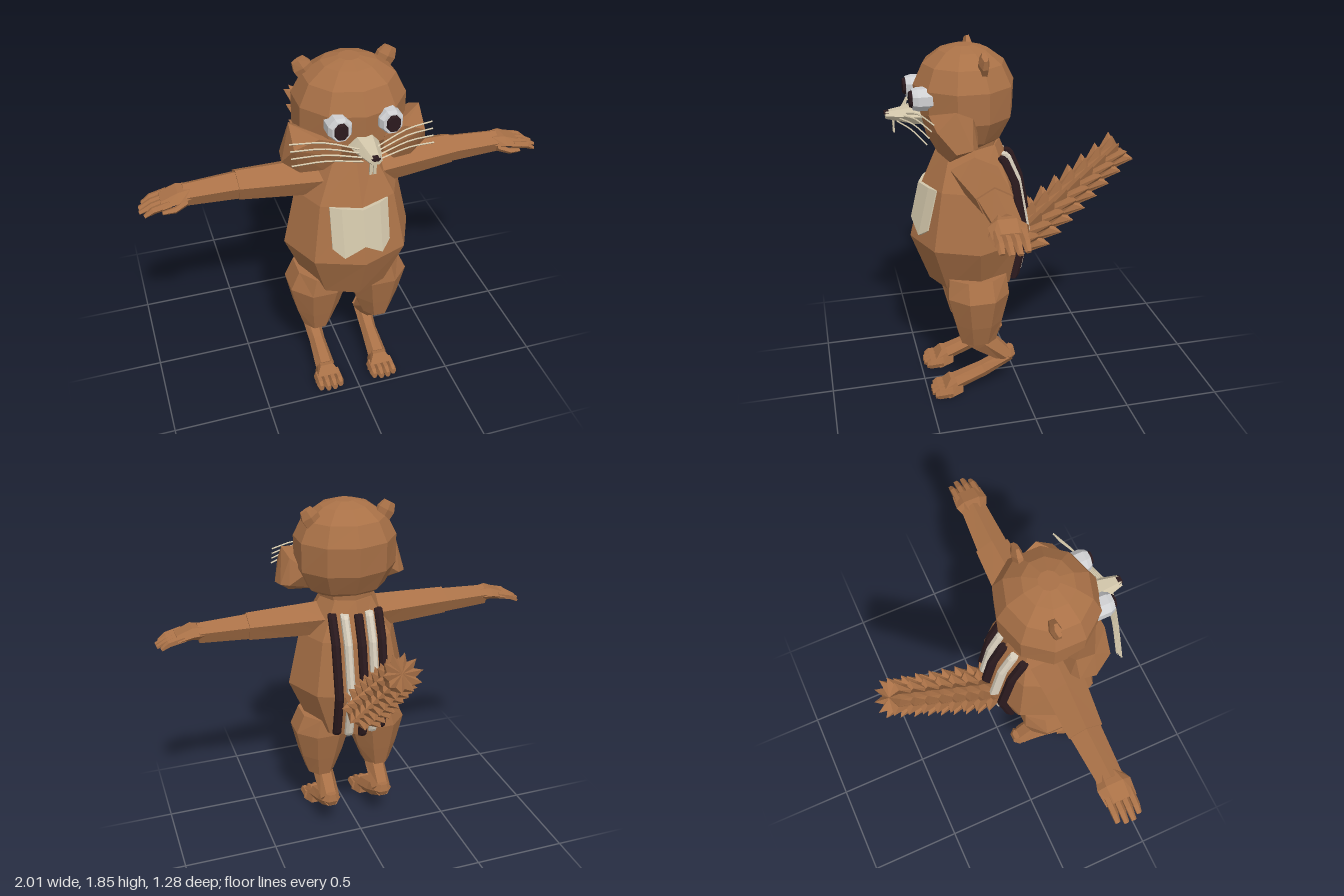
import * as THREE from 'three';
import { ConvexGeometry } from 'three/addons/geometries/ConvexGeometry.js';

const V = (x, y, z) => new THREE.Vector3(x, y, z);
const X = V(1, 0, 0), Y = V(0, 1, 0), Z = V(0, 0, 1), DOWN = V(0, -1, 0);

const mat = (name, color) => Object.assign(new THREE.MeshStandardMaterial({ color }), { name });

// Skin between cross-sections, capped at both ends, with hard facets
function loft(sections) {
  const pos = [];
  const tri = (...p) => p.forEach(q => pos.push(q.x, q.y, q.z));
  const n = sections[0].length;
  const mid = s => s.reduce((a, p) => a.add(p), V(0, 0, 0)).divideScalar(n);
  const first = sections[0], last = sections[sections.length - 1];
  const c0 = mid(first), c1 = mid(last);
  for (let j = 0; j < n; j++) {
    const k = (j + 1) % n;
    for (let i = 0; i + 1 < sections.length; i++) {
      const a = sections[i], b = sections[i + 1];
      tri(a[j], a[k], b[k]);
      tri(a[j], b[k], b[j]);
    }
    tri(c0, first[k], first[j]);
    tri(c1, last[j], last[k]);
  }
  const g = new THREE.BufferGeometry();
  g.setAttribute('position', new THREE.Float32BufferAttribute(pos, 3));
  g.computeVertexNormals();
  return g;
}

// Ring of n points around c, facing d; u is the first radius axis
function ring(c, d, u, ru, rv, n, phase = 0) {
  const v = d.clone().cross(u).normalize();
  return Array.from({ length: n }, (_, i) => {
    const a = phase + i / n * Math.PI * 2;
    return c.clone().addScaledVector(u, Math.cos(a) * ru).addScaledVector(v, Math.sin(a) * rv);
  });
}

// Tapered limb through rows [x, y, z, ru, rv]; dir fixes the facing of all rings
function limb(rows, u, n, phase = 0, dir = null) {
  const p = rows.map(r => V(r[0], r[1], r[2]));
  return loft(rows.map((r, i) => {
    const d = dir || p[Math.min(i + 1, p.length - 1)].clone().sub(p[Math.max(i - 1, 0)]).normalize();
    return ring(p[i], d, u, r[3], r[4], n, phase);
  }));
}

const hull = pts => new ConvexGeometry(pts.map(p => V(...p)));

// Mirror across x = 0 and restore the winding
function mirrored(geo) {
  const g = geo.clone(), p = g.attributes.position;
  for (let i = 0; i < p.count; i += 3) {
    const q = [0, 2, 1].map(k => V(-p.getX(i + k), p.getY(i + k), p.getZ(i + k)));
    q.forEach((w, k) => p.setXYZ(i + k, w.x, w.y, w.z));
  }
  g.computeVertexNormals();
  return g;
}

// Torso rows: height, half width, centre z, half depth
const TORSO = [[0.57, 0.08, 0.22, 0.1], [0.63, 0.22, 0.22, 0.23], [0.88, 0.325, 0.24, 0.3],
  [1.17, 0.262, 0.23, 0.24], [1.37, 0.14, 0.225, 0.155]];

// Torso surface z at (x, y); side is 1 for the front, -1 for the back
function torsoZ(x, y, side) {
  let i = 0;
  while (i < TORSO.length - 2 && y > TORSO[i + 1][0]) i++;
  const a = TORSO[i], b = TORSO[i + 1], t = (y - a[0]) / (b[0] - a[0]);
  const [, hx, zc, hz] = a.map((v, k) => v + (b[k] - v) * t);
  return zc + side * hz * (1 - 0.293 * Math.abs(x) / (0.707 * hx));
}

export function createModel() {
  const root = new THREE.Group();
  root.name = 'rodent';
  const fur = mat('brownFur', 0xa97147), cream = mat('creamFur', 0xd2c6aa),
    dark = mat('darkBrown', 0x2b1a1e), white = mat('eyeWhite', 0xcfd0d2),
    pale = mat('paleStripe', 0xd9cfbd);

  const add = (name, geo, m) => {
    const mesh = new THREE.Mesh(geo, m);
    mesh.name = name;
    root.add(mesh);
  };
  const pair = (name, geo, m) => {
    add('left' + name, geo, m);
    add('right' + name, mirrored(geo), m);
  };

  // Torso, neck and head
  add('torso', limb(TORSO.map(([y, hx, zc, hz]) => [0, y, zc, hx, hz]), X, 8, 0, Y), fur);
  add('neck', limb([[0, 1.34, 0.22, 0.14, 0.14], [0, 1.44, 0.23, 0.16, 0.15]], X, 8, 0, Y), fur);
  const head = [[1.37, 0.14, 0.13], [1.41, 0.21, 0.18], [1.52, 0.265, 0.24], [1.67, 0.265, 0.248],
    [1.77, 0.215, 0.2], [1.83, 0.13, 0.12], [1.852, 0.05, 0.05]];
  add('head', limb(head.map(([y, rx, rz]) => [0, y, 0.245, rx, rz]), X, 10, Math.PI / 2, Y), fur);

  // Face
  pair('Cheek', hull([[0.31, 1.61, 0.34], [0.34, 1.43, 0.27], [0.35, 1.42, 0.35], [0.27, 1.36, 0.37],
    [0.17, 1.38, 0.41], [0.1, 1.46, 0.455], [0.1, 1.54, 0.46], [0.2, 1.57, 0.45], [0.31, 1.52, 0.43],
    [0.2, 1.5, 0.22], [0.29, 1.57, 0.26], [0.3, 1.43, 0.24], [0.15, 1.38, 0.3]]), fur);
  pair('Ear', limb([[0.16, 1.73, 0.185, 0.02, 0.045], [0.2, 1.8, 0.185, 0.027, 0.052],
    [0.22, 1.835, 0.185, 0.015, 0.035]], Z, 6), fur);
  pair('Eye', limb([[0.118, 1.63, 0.4, 0.059, 0.057], [0.118, 1.63, 0.49, 0.059, 0.057],
    [0.118, 1.63, 0.515, 0.046, 0.05]], X, 8, Math.PI / 8, Z), white);
  pair('Pupil', limb([[0.12, 1.632, 0.511, 0.036, 0.045], [0.12, 1.632, 0.529, 0.03, 0.037]],
    X, 8, Math.PI / 8, Z), dark);
  add('snout', limb([[0, 1.525, 0.43, 0.078, 0.057], [0, 1.525, 0.5, 0.066, 0.048],
    [0, 1.53, 0.632, 0.03, 0.02]], X, 6, 0, Z), cream);
  add('nose', limb([[0, 1.542, 0.615, 0.024, 0.011], [0, 1.541, 0.638, 0.02, 0.009]], X, 6, 0, Z), dark);
  for (const s of [-1, 1]) {
    const g = new THREE.BoxGeometry(0.014, 0.065, 0.008).toNonIndexed();
    add('tooth', g.translate(s * 0.009, 1.475, 0.595), cream);
  }
  for (let i = 0; i < 4; i++) {
    const y = 1.505 + i * 0.012;
    const c = new THREE.CatmullRomCurve3([V(0.04, y, 0.58 - i * 0.015),
      V(0.19, y + 0.012 * i, 0.53 - i * 0.012), V(0.335, y - 0.03 + 0.018 * i, 0.48 - i * 0.012)]);
    const g = new THREE.TubeGeometry(c, 6, 0.0045, 4).toNonIndexed();
    g.computeVertexNormals();
    pair('Whisker', g, cream);
  }

  // Arms, hands and fingers
  pair('Arm', limb([[0.14, 1.245, 0.23, 0.125, 0.088], [0.3, 1.248, 0.225, 0.11, 0.082],
    [0.54, 1.255, 0.215, 0.092, 0.071]], Z, 5, -Math.PI / 2, X), fur);
  pair('Forearm', limb([[0.52, 1.253, 0.215, 0.085, 0.066], [0.79, 1.252, 0.22, 0.068, 0.052]],
    Z, 5, -Math.PI / 2, X), fur);
  pair('Palm', limb([[0.76, 1.255, 0.22, 0.06, 0.04], [0.82, 1.262, 0.225, 0.085, 0.035],
    [0.9, 1.24, 0.228, 0.078, 0.024]], Z, 6, 0, X), fur);
  for (let i = 0; i < 4; i++) {
    const z = 0.172 + i * 0.037, tip = [0.98, 0.998, 1, 0.98][i];
    pair('Finger', limb([[0.86, 1.25, z, 0.02, 0.02], [0.94, 1.232, z, 0.019, 0.018],
      [tip, 1.207, z, 0.014, 0.009]], Z, 5), fur);
  }
  pair('Thumb', limb([[0.78, 1.24, 0.27, 0.02, 0.02], [0.84, 1.222, 0.295, 0.018, 0.016],
    [0.9, 1.212, 0.29, 0.01, 0.009]], Z, 5, 0, X), fur);

  // Legs, feet and toes
  pair('Thigh', limb([[0.15, 0.7, 0.23, 0.125, 0.16], [0.157, 0.6, 0.23, 0.166, 0.17],
    [0.163, 0.44, 0.23, 0.122, 0.13], [0.167, 0.322, 0.23, 0.079, 0.098]], X, 8, Math.PI / 8, DOWN), fur);
  pair('Shin', limb([[0.16, 0.36, 0.25, 0.058, 0.085], [0.155, 0.3, 0.2, 0.057, 0.07],
    [0.153, 0.2, 0.085, 0.055, 0.045]], X, 6), fur);
  pair('Hock', limb([[0.153, 0.24, 0.055, 0.03, 0.02], [0.153, 0.2, 0.062, 0.054, 0.036],
    [0.153, 0.165, 0.07, 0.03, 0.025]], X, 6, 0, DOWN), fur);
  pair('Ankle', limb([[0.153, 0.195, 0.06, 0.048, 0.035], [0.15, 0.12, 0.2, 0.043, 0.043],
    [0.15, 0.065, 0.35, 0.052, 0.045]], X, 6), fur);
  pair('Foot', hull([-1, 1].flatMap(s => [[0.15 + s * 0.045, 0.012, 0.32], [0.15 + s * 0.07, 0, 0.4],
    [0.15 + s * 0.062, 0.055, 0.42], [0.15 + s * 0.035, 0.1, 0.385], [0.15 + s * 0.03, 0.09, 0.32]])), fur);
  for (let i = 0; i < 4; i++) {
    const x = 0.097 + i * 0.0355;
    pair('Toe', limb([[x, 0.03, 0.38, 0.02, 0.034], [x, 0.028, 0.45, 0.021, 0.032],
      [x, 0.024, i % 3 ? 0.484 : 0.472, 0.014, 0.019]], X, 6, 0, Z), fur);
  }

  // Belly patch with a ragged lower edge, folded over the chest
  const cols = [[-0.145, 0.96], [-0.095, 0.92], [-0.05, 0.95], [0, 0.985],
    [0.05, 0.95], [0.095, 0.92], [0.145, 0.96]];
  add('bellyPatch', loft(cols.map(([x, low]) => {
    const fold = Math.abs(x) > 0.12 ? 0.006 : 0.018;
    const front = [1.17, 1.08, low].map(y => V(x, y, torsoZ(x, y, 1) + fold));
    const back = [low, 1.08, 1.17].map(y => V(x, y, torsoZ(x, y, 1) - 0.01));
    return [...front, ...back];
  })), cream);

  // Five raised stripes down the back
  [-0.125, -0.066, 0, 0.066, 0.125].forEach((x, i) => {
    const rows = [1.31, 1.295, 1.17, 1.03, 0.88, 0.75, 0.66, 0.64].map((y, k, all) => {
      const end = k === 0 || k === all.length - 1;
      return [x, y, torsoZ(x, y, -1) - 0.012, 0.023, end ? 0.02 : 0.029];
    });
    add('backStripe', limb(rows, X, 8, Math.PI / 8, DOWN), i % 2 ? pale : dark);
  });

  // Tail: overlapping tufts with spiked rims
  const axis = V(0, 0.653, -0.757).normalize(), base = V(0, 0.79, -0.02);
  const side = axis.clone().cross(X);
  const tufts = 8, spikes = 10;
  for (let i = 0; i < tufts; i++) {
    const t = i * 0.089, r = 0.14 - i * 0.006;
    const rim = Array.from({ length: spikes * 2 }, (_, k) => {
      const a = k / spikes * Math.PI, out = k % 2 === 0;
      return base.clone().addScaledVector(axis, t + (out ? 0.115 : 0.085))
        .addScaledVector(X, Math.cos(a) * r * (out ? 1 : 0.7))
        .addScaledVector(side, Math.sin(a) * r * (out ? 1 : 0.7));
    });
    const inner = ring(base.clone().addScaledVector(axis, t), axis, X, r * 0.62, r * 0.62, spikes * 2);
    add('tailTuft', loft([inner, rim]), fur);
  }
  return root;
}
